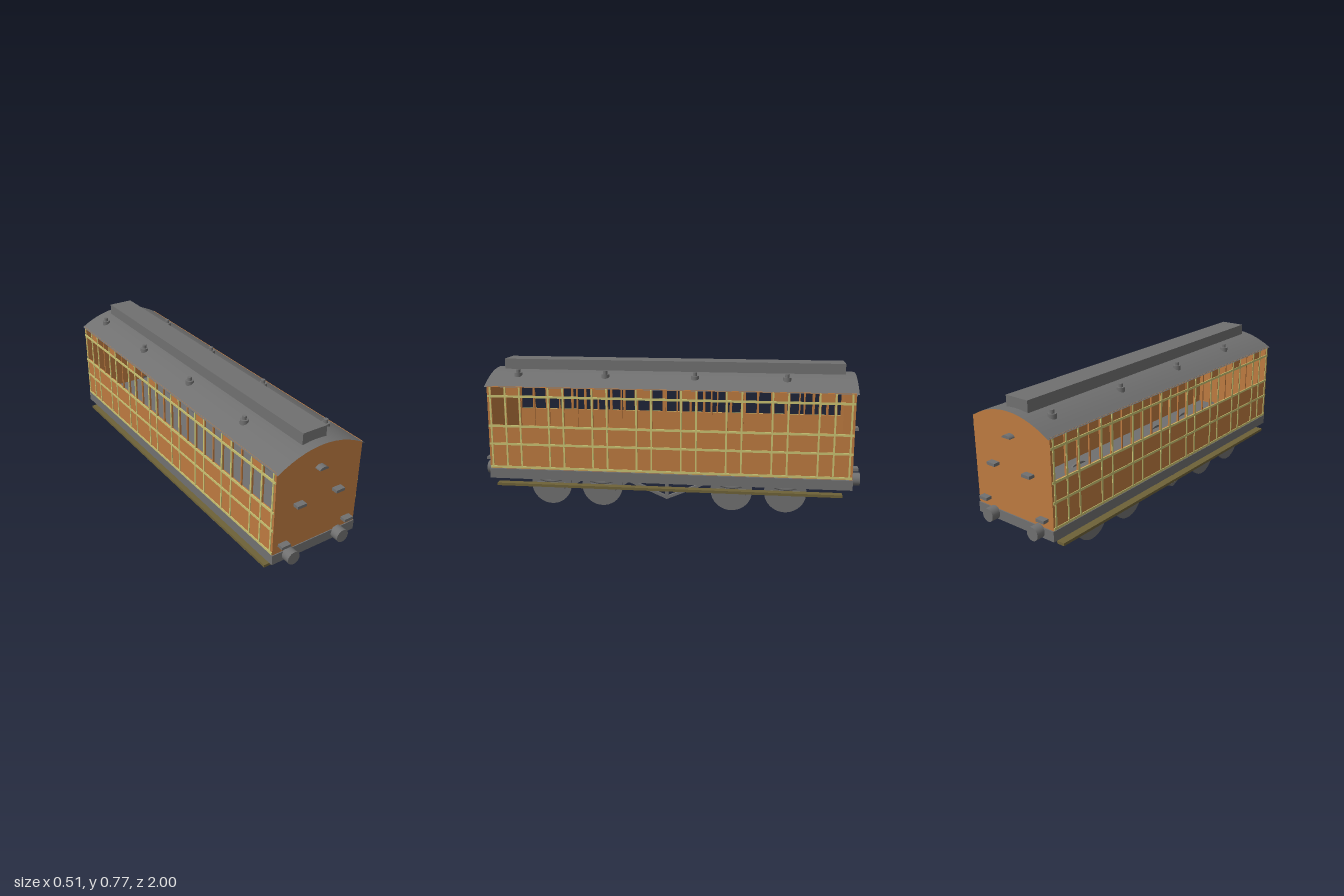
import * as THREE from 'three';

const mat = (name, color) => Object.assign(new THREE.MeshStandardMaterial({ color }), { name });

export function createModel() {
  const model = new THREE.Group();
  model.name = 'railwayCarriage';
  const teak = mat('teak', 0xbd7a40);
  const grey = mat('grey', 0x707070);
  const beading = mat('beading', 0xc9c272);
  const olive = mat('olive', 0x6e6238);
  const roofGrey = mat('roofGrey', 0x707070);
  roofGrey.side = THREE.DoubleSide;

  const add = (name, geometry, material, x = 0, y = 0, z = 0, parent = model) => {
    const mesh = new THREE.Mesh(geometry, material);
    mesh.name = name;
    mesh.position.set(x, y, z);
    parent.add(mesh);
    return mesh;
  };
  // box given by its limits
  const box = (name, material, x0, x1, y0, y1, z0, z1) =>
    add(name, new THREE.BoxGeometry(x1 - x0, y1 - y0, z1 - z0), material,
      (x0 + x1) / 2, (y0 + y1) / 2, (z0 + z1) / 2);
  const roofY = (x) => 0.724 - 0.075 * (x / 0.247) ** 2;

  // roof: a thin arched sheet
  const roof = new THREE.PlaneGeometry(0.497, 1.93, 14, 1).rotateX(-Math.PI / 2);
  const p = roof.attributes.position;
  for (let i = 0; i < p.count; i++) p.setY(i, roofY(p.getX(i)));
  roof.computeVertexNormals();
  add('roof', roof, roofGrey, -0.002);
  box('clerestory', grey, -0.08, 0.055, 0.7, 0.775, -0.913, 0.913);

  // roof ventilators, staggered on the two sides
  for (const [x, z0] of [[-0.152, 0.585], [0.142, 0.81]]) {
    for (let i = 0; i < 4; i++) {
      const z = z0 - i * 0.474;
      add('ventilatorBase', new THREE.CylinderGeometry(0.021, 0.021, 0.032, 16), grey, x, 0.696, z);
      add('ventilatorCap', new THREE.CylinderGeometry(0.011, 0.011, 0.03, 16), grey, x, 0.715, z);
    }
  }

  // side walls with open windows
  const doorZ = Array.from({ length: 8 }, (_, i) => 0.815 - i * 0.2328);
  const doorHalf = 0.039, pillar = 0.007;
  const wall = new THREE.Shape();
  const rect = (path, z0, z1, y0, y1) => {
    path.moveTo(z0, y0).lineTo(z1, y0).lineTo(z1, y1).lineTo(z0, y1).closePath();
    return path;
  };
  rect(wall, -0.951, 0.951, 0.208, 0.652);
  const hole = (z0, z1, top) => wall.holes.push(rect(new THREE.Path(), z0, z1, 0.445, top));
  doorZ.forEach((c, i) => {
    hole(c - doorHalf + pillar, c + doorHalf - pillar, 0.6);
    if (i < 7) {
      const mid = c - 0.1164;
      hole(mid + 0.004, c - doorHalf - pillar, 0.648);
      hole(mid - 0.2328 / 2 + doorHalf + pillar, mid - 0.004, 0.648);
    }
  });
  for (const s of [-1, 1]) {
    const a = s * 0.928, b = s * (0.8146 + doorHalf + pillar);
    hole(Math.min(a, b), Math.max(a, b), 0.648);
  }
  const wallGeo = new THREE.ExtrudeGeometry(wall, { depth: 0.008, bevelEnabled: false }).rotateY(Math.PI / 2);

  for (const s of [-1, 1]) {
    add('sideWall', wallGeo, teak, s > 0 ? 0.236 : -0.245);
    const x = s * 0.2455 - 0.0005;
    // beading strips
    for (const y of [0.217, 0.343, 0.44, 0.6])
      add('beadingRail', new THREE.BoxGeometry(0.005, 0.012, 1.9), beading, x, y, 0);
    const strip = new THREE.BoxGeometry(0.005, 0.438, 0.009);
    for (const c of doorZ)
      for (const d of [-doorHalf, doorHalf]) add('beadingStrip', strip, beading, x, 0.43, c + d);
    for (const z of [-0.935, 0.935]) add('endBeading', strip, beading, x, 0.43, z);
  }

  // end walls with arched top
  const end = new THREE.Shape();
  end.moveTo(-0.245, 0.208).lineTo(0.244, 0.208);
  for (let i = 0; i <= 14; i++) {
    const x = 0.244 - 0.489 * i / 14;
    end.lineTo(x, roofY(x) - 0.002);
  }
  const endGeo = new THREE.ExtrudeGeometry(end, { depth: 0.008, bevelEnabled: false });
  const lampGeo = new THREE.CylinderGeometry(0.025, 0.025, 0.03, 20, 1, false, Math.PI / 2, Math.PI)
    .rotateX(Math.PI / 2).scale(1, 0.56, 1);

  for (const s of [-1, 1]) {
    add('endWall', endGeo, teak, 0, 0, s > 0 ? 0.944 : -0.952);
    const z = s * 0.967;
    // lamp hood
    const lamp = new THREE.Shape();
    lamp.absellipse(0, 0, 0.025, 0.015, 0, Math.PI, false, 0);
    add('lampHood', new THREE.ExtrudeGeometry(lamp, { depth: 0.034, bevelEnabled: false, curveSegments: 12 }),
      grey, -0.004, 0.602, z - 0.017);
    // end steps
    for (const [x, y] of [[-0.115, 0.448], [0.11, 0.448], [-0.19, 0.253], [0.184, 0.253]])
      add('endStep', new THREE.BoxGeometry(0.05, 0.015, 0.034), grey, x, y, z);
    // buffers
    for (const x of [-0.156, 0.138])
      add('buffer', new THREE.CylinderGeometry(0.034, 0.034, 0.06, 28).rotateX(Math.PI / 2),
        grey, x, 0.185, s * 0.97);
  }

  // underframe, also the floor
  box('underframe', grey, -0.246, 0.248, 0.154, 0.206, -0.955, 0.955);

  // wheels, axles, axle boxes and springs
  const wheelGeo = new THREE.CylinderGeometry(0.11, 0.11, 0.013, 40).rotateZ(Math.PI / 2);
  const axleGeo = new THREE.CylinderGeometry(0.011, 0.011, 0.275, 14).rotateZ(Math.PI / 2);
  const springCurve = new THREE.QuadraticBezierCurve3(
    new THREE.Vector3(0, 0.158, -0.085), new THREE.Vector3(0, 0.105, 0), new THREE.Vector3(0, 0.158, 0.085));
  const springGeo = new THREE.TubeGeometry(springCurve, 12, 0.009, 6);
  for (const z of [0.638, 0.357, -0.338, -0.62]) {
    add('axle', axleGeo, grey, 0, 0.107, z);
    for (const s of [-1, 1]) {
      add('wheel', wheelGeo, grey, s * 0.1685, 0.11, z);
      add('axleBox', new THREE.BoxGeometry(0.022, 0.03, 0.155), grey, s * 0.189, 0.105, z);
      add('spring', springGeo, grey, s * 0.189, 0, z);
    }
  }

  for (const s of [-1, 1]) {
    const x = s * 0.207;
    // truss under the middle
    for (const d of [-1, 1]) {
      const rod = add('trussRod', new THREE.BoxGeometry(0.021, 0.014, 0.222), grey, x, 0.112, d * 0.1);
      rod.rotation.x = -d * Math.atan2(0.085, 0.2);
    }
    add('trussPost', new THREE.BoxGeometry(0.021, 0.09, 0.018), grey, x, 0.115, 0);
    // long footboard
    add('footboard', new THREE.BoxGeometry(0.042, 0.014, 1.82), olive, s * 0.2365, 0.123, 0.005);
  }
  return model;
}
